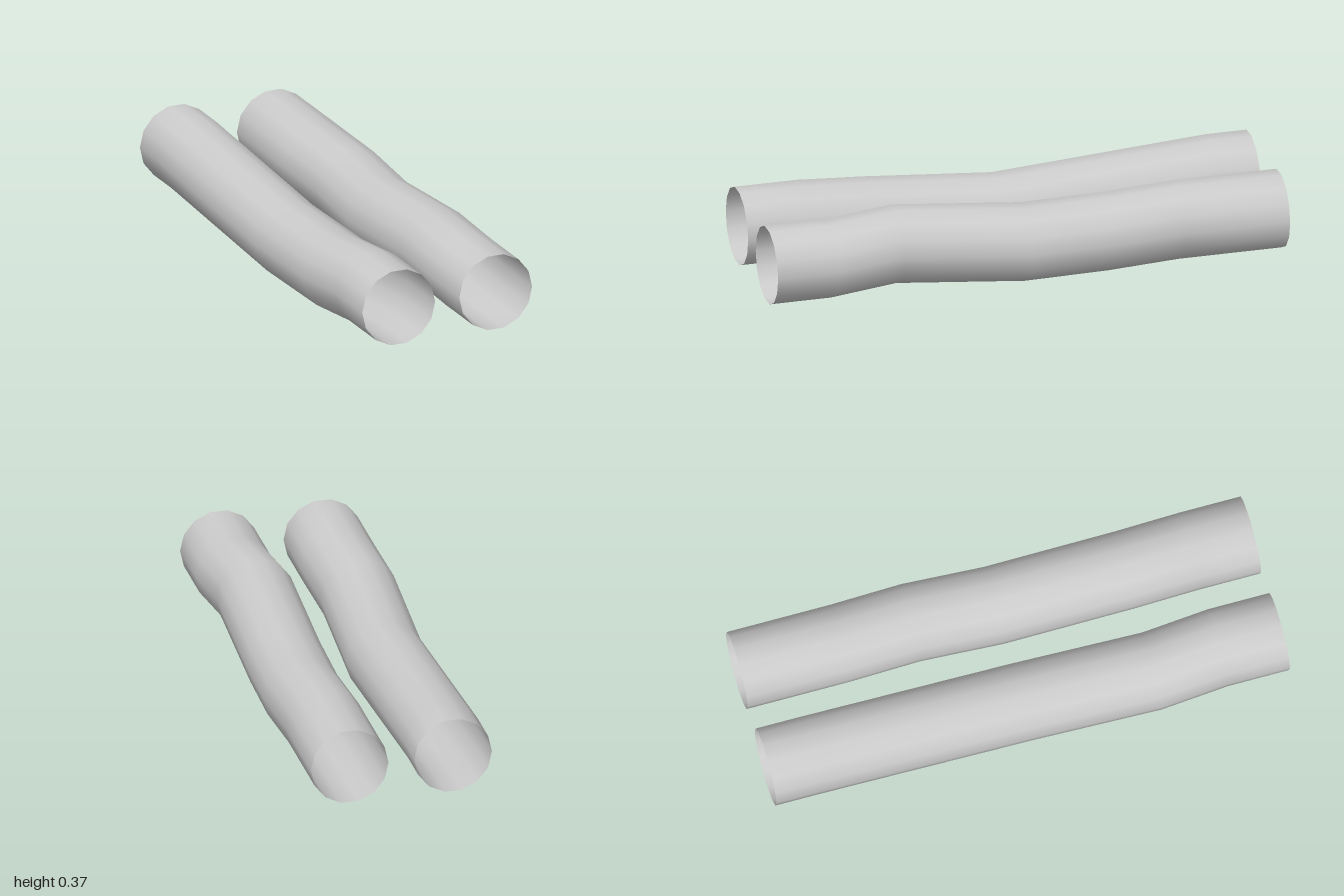
import * as THREE from 'three';

const SIDES = 14;
const RADIUS = 0.15;

// Open pipe with upright rings centred on [x, y, z], listed front to back
function makePipe(name, centres) {
  const positions = [];
  const indices = [];
  centres.forEach(([x, y, z], i) => {
    for (let j = 0; j < SIDES; j++) {
      const a = (j / SIDES) * Math.PI * 2;
      positions.push(x + RADIUS * Math.cos(a), y + RADIUS * Math.sin(a), z);
      if (i === 0) continue;
      const next = (j + 1) % SIDES;
      const front = (i - 1) * SIDES, back = i * SIDES;
      indices.push(front + j, back + j, front + next);
      indices.push(front + next, back + j, back + next);
    }
  });
  const geometry = new THREE.BufferGeometry();
  geometry.setAttribute('position', new THREE.Float32BufferAttribute(positions, 3));
  geometry.setIndex(indices);
  geometry.computeVertexNormals();
  const material = new THREE.MeshStandardMaterial({ color: 0xcccccc, side: THREE.DoubleSide });
  const mesh = new THREE.Mesh(geometry, material);
  mesh.name = name;
  return mesh;
}

export function createModel() {
  const group = new THREE.Group();
  group.name = 'pipePair';

  // Left pipe rises, then dips and drifts outward
  group.add(makePipe('leftPipe', [
    [0.2, 0.2, 1], [0.2, 0.2, 0.76], [0.185, 0.223, 0.5], [0.197, 0.179, 0],
    [0.211, 0.19, -0.32], [0.2, 0.2, -0.6], [0.2, 0.2, -1],
  ]));

  // Right pipe sags towards the middle
  group.add(makePipe('rightPipe', [
    [-0.2, 0.2, 1], [-0.2, 0.2, 0.76], [-0.215, 0.178, 0.5], [-0.191, 0.147, 0],
    [-0.2, 0.2, -0.84], [-0.2, 0.2, -1],
  ]));

  return group;
}
